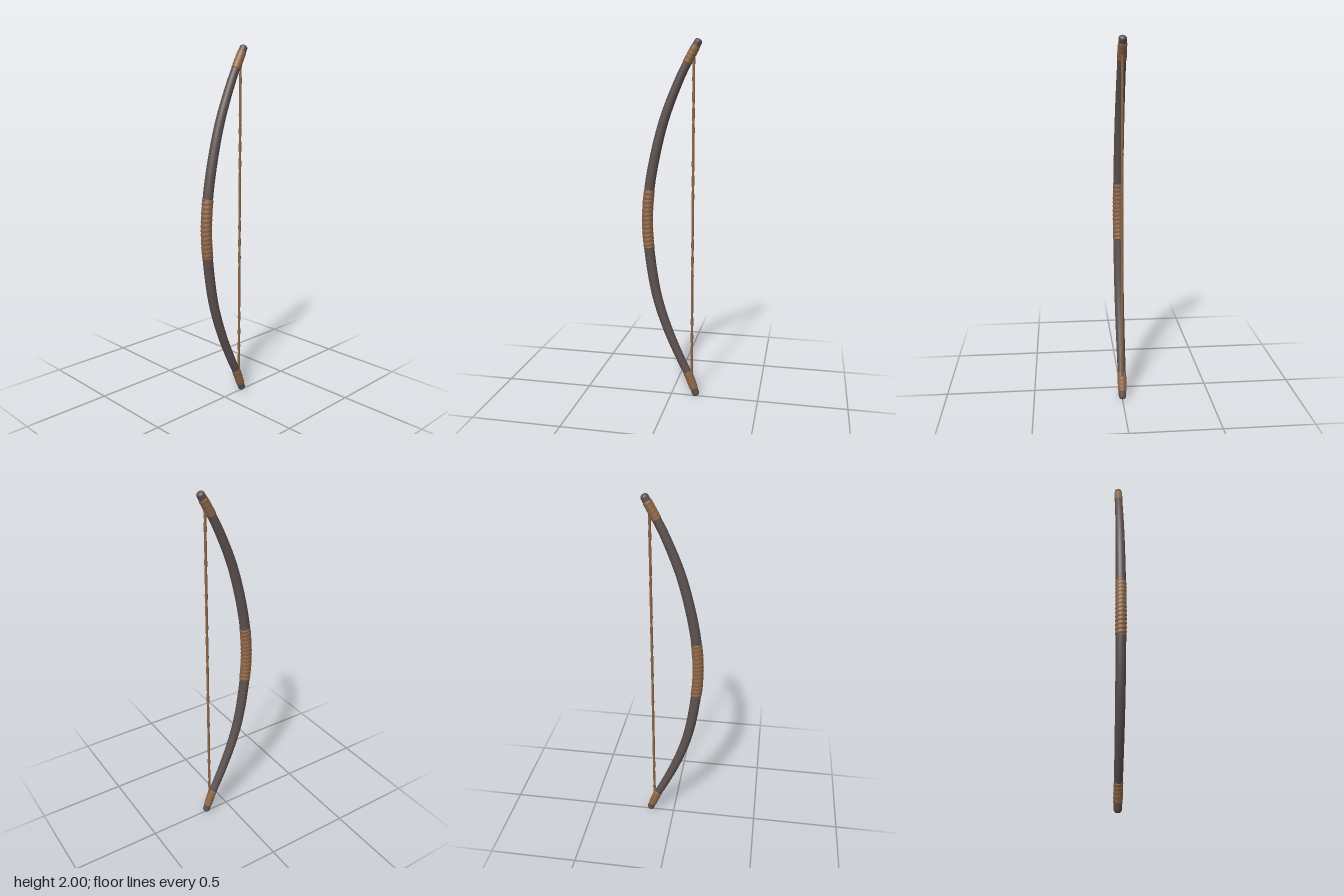
import * as THREE from 'three';

const darkWood = new THREE.MeshStandardMaterial({ name: 'darkWood', color: 0x5e5250 });
const leather = new THREE.MeshStandardMaterial({ name: 'leather', color: 0x8f6848 });

// Centre line of the bow stave, bottom to top
const stave = new THREE.CatmullRomCurve3([
  [0.149, 0.002], [0.1, 0.13], [0.065, 0.2], [-0.022, 0.4], [-0.085, 0.6], [-0.125, 0.85],
  [-0.136, 1.02], [-0.124, 1.2], [-0.088, 1.4], [-0.034, 1.6], [0.046, 1.8], [0.096, 1.9], [0.149, 1.998],
].map(([x, y]) => new THREE.Vector3(x, y, 0)), false, 'centripetal');

// Curve parameter at a given height
function paramAt(curve, y) {
  let lo = 0, hi = 1;
  for (let i = 0; i < 30; i++) {
    const mid = (lo + hi) / 2;
    if (curve.getPoint(mid).y < y) lo = mid; else hi = mid;
  }
  return (lo + hi) / 2;
}

// Round section swept along a curve between two heights; radius(y, angle, u)
function sweep(name, material, curve, y0, y1, rings, sides, radius) {
  const t0 = paramAt(curve, y0), t1 = paramAt(curve, y1);
  const positions = [], index = [];
  for (let i = 0; i <= rings; i++) {
    // Rings crowd towards both ends so that the ends can be rounded
    const u = (1 - Math.cos(Math.PI * i / rings)) / 2;
    const t = t0 + (t1 - t0) * u;
    const c = curve.getPoint(t), d = curve.getTangent(t);
    for (let j = 0; j < sides; j++) {
      const a = j / sides * Math.PI * 2;
      const r = radius(c.y, a, u);
      positions.push(c.x + d.y * Math.cos(a) * r, c.y - d.x * Math.cos(a) * r, c.z + Math.sin(a) * r);
      if (i === rings) continue;
      const k = (j + 1) % sides, p = i * sides, q = p + sides;
      index.push(p + j, q + j, p + k, p + k, q + j, q + k);
    }
  }
  const geometry = new THREE.BufferGeometry();
  geometry.setAttribute('position', new THREE.Float32BufferAttribute(positions, 3));
  geometry.setIndex(index);
  geometry.computeVertexNormals();
  const mesh = new THREE.Mesh(geometry, material);
  mesh.name = name;
  return mesh;
}

// Stave thickness: full at the grip, slimmer at the tips
const staveRadius = (y) => 0.0205 + 0.008 * Math.pow(Math.cos((y - 1) * Math.PI / 2), 0.8);

// Half-round end, as a factor, for a distance from the end
const roundEnd = (distance, length) => {
  const s = Math.min(1, Math.max(0, distance / length));
  return Math.sqrt(1 - (1 - s) ** 2);
};

export function createModel() {
  const bow = new THREE.Group();
  bow.name = 'bow';
  const length = stave.getLength();

  // Wooden stave with rounded tips
  bow.add(sweep('stave', darkWood, stave, 0.002, 1.998, 120, 24, (y, a, u) => {
    const yy = Math.min(1.999, Math.max(0.001, y));
    return staveRadius(yy) * roundEnd(Math.min(u, 1 - u) * length, 0.022);
  }));

  // Wound leather: slightly proud of the stave, closed at its ends
  const wrap = (name, y0, y1, lift, ridge, pitch) =>
    bow.add(sweep(name, leather, stave, y0, y1, 150, 24, (y, a, u) => {
      const coil = Math.abs(Math.sin(Math.PI * y / pitch + a / 2));
      const edge = roundEnd(Math.min(u, 1 - u) * (y1 - y0), 0.006);
      return staveRadius(y) - 0.002 + (lift + 0.002 + ridge * coil) * edge;
    }));
  wrap('gripWrap', 0.87, 1.2, 0.0005, 0.0022, 0.024);
  wrap('lowerTipWrap', 0.045, 0.145, 0.002, 0.0008, 0.02);
  wrap('upperTipWrap', 1.875, 1.965, 0.002, 0.0008, 0.02);

  // Two-ply twisted bowstring
  const cord = new THREE.LineCurve3(new THREE.Vector3(0.119, 0.09, 0), new THREE.Vector3(0.119, 1.92, 0));
  bow.add(sweep('bowstring', leather, cord, 0.09, 1.92, 240, 10,
    (y, a) => 0.007 + 0.001 * Math.cos(2 * a - y * 70)));

  return bow;
}
